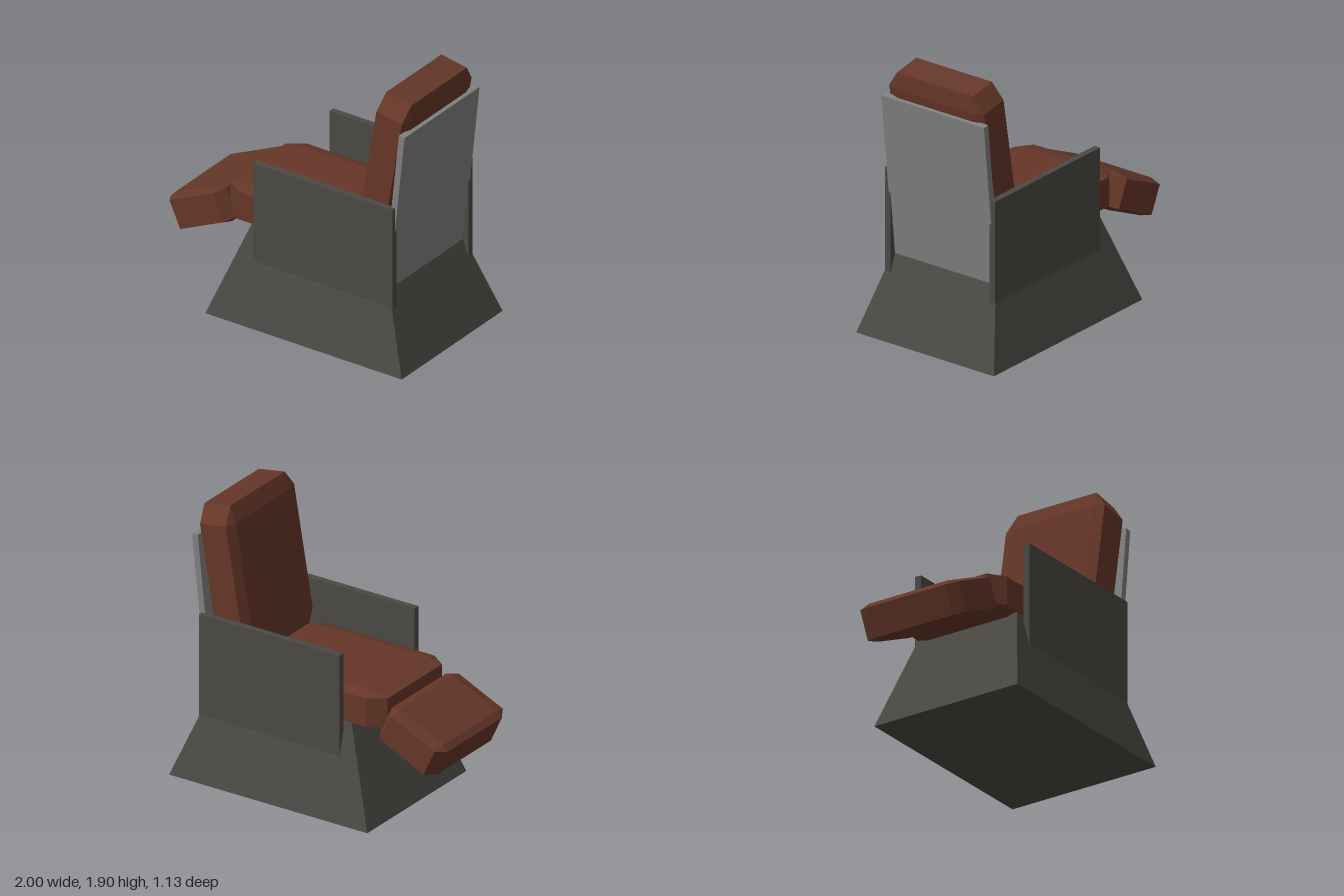
import * as THREE from 'three';
import { ConvexGeometry } from 'three/addons/geometries/ConvexGeometry.js';

const mat = (color) => new THREE.MeshStandardMaterial({ color, flatShading: true });

// Box bevelled by a different amount along each axis: one inset rectangle per face.
function bevelledBox(half, bevel) {
  const points = [];
  for (let axis = 0; axis < 3; axis++)
    for (const x of [-1, 1]) for (const y of [-1, 1]) for (const z of [-1, 1])
      points.push(new THREE.Vector3(...[x, y, z].map((s, i) =>
        s * (half[i] - (i === axis ? 0 : bevel[i])))));
  return new ConvexGeometry(points);
}

export function createModel() {
  const group = new THREE.Group();
  const shell = mat(0x4a4944);
  const leather = mat(0x653728);
  const metal = mat(0x808080);

  function add(name, geometry, material, x, y, z, tilt = 0) {
    const mesh = new THREE.Mesh(geometry, material);
    mesh.name = name;
    mesh.position.set(x, y, z);
    mesh.rotation.z = tilt;
    group.add(mesh);
  }

  // Flared pedestal: a box whose top is drawn in
  const base = new THREE.BoxGeometry(1, 0.65, 1).translate(0, 0.325, 0);
  const p = base.attributes.position;
  for (let i = 0; i < p.count; i++) {
    const top = p.getY(i) > 0.3;
    const [x0, x1, z] = top ? [-0.31, 0.755, 0.39] : [-0.55, 1, 0.565];
    p.setX(i, p.getX(i) < 0 ? x0 : x1);
    p.setZ(i, Math.sign(p.getZ(i)) * z);
  }
  base.computeVertexNormals();
  add('base', base, shell, 0, 0, 0);

  // Side panels serving as armrests
  for (const s of [-1, 1])
    add(s > 0 ? 'frontArmPanel' : 'rearArmPanel',
      new THREE.BoxGeometry(1.1, 0.785, 0.045), shell, 0.295, 0.7525, s * 0.4275);

  // Cushions share one bevelled form; the footrest is a shorter one
  const cushion = (length) =>
    bevelledBox([length / 2, 0.127, 0.39], [length * 0.106, 0.025, 0.08]);
  add('seatCushion', cushion(1.085), leather, 0.0075, 0.758, 0);
  add('backCushion', cushion(1.085), leather, 0.705, 1.353, 0, Math.PI / 2 - 0.171);
  add('footrest', cushion(0.479), leather, -0.7425, 0.61, 0, 0.431);

  // Leaning plate behind the back cushion
  add('backPlate', new THREE.BoxGeometry(0.045, 1.25, 0.84), metal, 0.832, 1.067, 0, -0.1056);

  return group;
}
